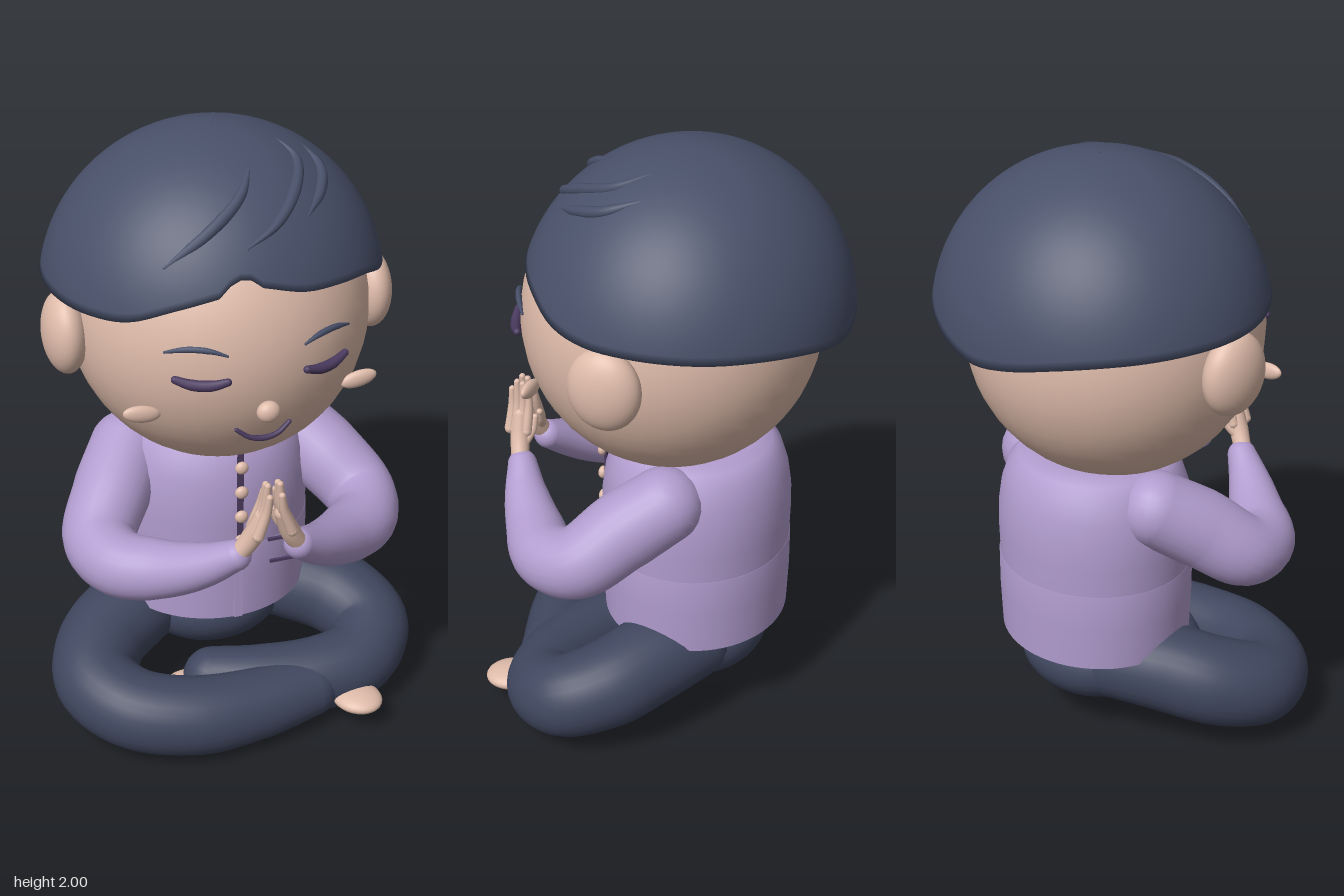
import * as THREE from 'three';
import { mergeGeometries } from 'three/addons/utils/BufferGeometryUtils.js';

const mat = (name, color) => Object.assign(new THREE.MeshStandardMaterial({ color }), { name });
const M = {
  skin: mat('skin', 0xdebbaa),
  hair: mat('navy hair', 0x485069),
  pants: mat('dark navy trousers', 0x40475f),
  shirt: mat('lilac shirt', 0xb29dcf),
  trim: mat('dark purple', 0x4b3b60),
};
const V = (a) => new THREE.Vector3(...a);

// Tube whose radius follows a list of values, with rounded ends
function taperTube(pts, radii, segs = 32, sides = 20) {
  const curve = new THREE.CatmullRomCurve3(pts.map(V));
  const geo = new THREE.TubeGeometry(curve, segs, 1, sides);
  const pos = geo.attributes.position;
  const v = new THREE.Vector3();
  for (let i = 0; i <= segs; i++) {
    const f = (i / segs) * (radii.length - 1);
    const k = Math.min(Math.floor(f), radii.length - 2);
    const r = THREE.MathUtils.lerp(radii[k], radii[k + 1], f - k);
    const c = curve.getPointAt(i / segs);
    for (let j = 0; j <= sides; j++) {
      const n = i * (sides + 1) + j;
      v.fromBufferAttribute(pos, n).sub(c).multiplyScalar(r).add(c);
      pos.setXYZ(n, v.x, v.y, v.z);
    }
  }
  const ends = [[pts[0], radii[0]], [pts[pts.length - 1], radii[radii.length - 1]]];
  return mergeGeometries([geo, ...ends.map(([p, r]) =>
    new THREE.SphereGeometry(r, sides, 12).translate(...p))]);
}

// Hair dome: an ellipsoid cut along a wavy hairline
const DOME = { y: 1.46, rx: 0.55, ry: 0.54, z: -0.06 };
const domeRz = (front) => (front ? 0.535 : 0.52);
// Hairline heights every 15 degrees, from the front towards the left
const HAIRLINE = [1.675, 1.64, 1.625, 1.605, 1.565, 1.55, 1.55, 1.547, 1.54, 1.53, 1.51, 1.48,
  1.46, 1.48, 1.51, 1.53, 1.54, 1.545, 1.545, 1.545, 1.55, 1.565, 1.615, 1.655];

function hairGeometry() {
  const line = new THREE.CatmullRomCurve3(HAIRLINE.map((y, i) => new THREE.Vector3(i, y, 0)), true);
  const cols = 96, outer = 28, inner = 8, pos = [], idx = [];
  for (let i = 0; i <= outer + inner; i++) {
    const back = i - outer;
    const t = back <= 0 ? Math.max(i / outer, 0.002) : 1 - 0.4 * Math.max(0, back - 1) / inner;
    const s = back <= 0 ? 1 : 0.94;
    for (let j = 0; j < cols; j++) {
      const phi = (j / cols) * Math.PI * 2;
      const th = t * Math.acos((line.getPoint(j / cols).y - DOME.y) / DOME.ry);
      const r = Math.sin(th) * s;
      pos.push(Math.sin(phi) * r * DOME.rx, DOME.y + Math.cos(th) * DOME.ry * (back > 1 ? s : 1),
        DOME.z + Math.cos(phi) * r * domeRz(Math.cos(phi) > 0));
    }
  }
  for (let i = 0; i < outer + inner; i++) for (let j = 0; j < cols; j++) {
    const k = (j + 1) % cols, a = i * cols + j, b = i * cols + k;
    idx.push(a, a + cols, b, b, a + cols, b + cols);
  }
  const geo = new THREE.BufferGeometry();
  geo.setAttribute('position', new THREE.Float32BufferAttribute(pos, 3));
  geo.setIndex(idx);
  geo.computeVertexNormals();
  return geo;
}
const onHair = ([x, z]) => [x, DOME.y - 0.004 + DOME.ry *
  Math.sqrt(1 - (x / DOME.rx) ** 2 - ((z - DOME.z) / domeRz(z > DOME.z)) ** 2), z];

export function createModel() {
  const root = new THREE.Group();
  root.name = 'meditatingBoy';
  const add = (name, geo, material, p = [0, 0, 0], s = [1, 1, 1]) => {
    const m = new THREE.Mesh(geo, material);
    m.name = name;
    m.position.set(...p);
    m.scale.set(...s);
    root.add(m);
    return m;
  };
  const ball = (name, material, p, s) => add(name, new THREE.SphereGeometry(1, 40, 28), material, p, s);

  // Head and hair
  ball('head', M.skin, [0, 1.42, 0], [0.48, 0.49, 0.48]);
  add('hair', hairGeometry(), M.hair);
  [
    [[0.17, 0], [0.215, 0.1], [0.16, 0.24], [0.07, 0.33], [-0.03, 0.37]],
    [[0.27, -0.01], [0.295, 0.1], [0.26, 0.2], [0.19, 0.29]],
    [[0.05, 0.16], [-0.02, 0.26], [-0.13, 0.315], [-0.27, 0.32]],
  ].forEach((p) => add('hairStrand', taperTube(p.map(onHair), [0.004, 0.017, 0.02, 0.017, 0.004], 28, 10), M.hair));

  // Central face parts
  ball('nose', M.skin, [0, 1.29, 0.49], [0.037, 0.035, 0.028]);
  add('mouth', taperTube([[-0.085, 1.215, 0.442], [-0.045, 1.188, 0.452], [0, 1.18, 0.455],
    [0.045, 1.188, 0.452], [0.085, 1.215, 0.442]], [0.007, 0.01, 0.007], 20, 8), M.trim);

  // Torso: upper shirt and slightly wider skirt, closed below
  const lathe = (pts) => new THREE.LatheGeometry(pts.map((p) => new THREE.Vector2(...p)), 64);
  const body = [[0, 0, -0.088], [1, 1, 0.94]];
  add('shirtTop', lathe([[0.328, 0.62], [0.331, 0.72], [0.33, 0.8], [0.318, 0.88], [0.295, 0.95],
    [0.26, 0.99], [0.2, 1.01], [0, 1.01]]), M.shirt, ...body);
  add('shirtSkirt', lathe([[0.326, 0.35], [0.332, 0.5], [0.332, 0.625], [0.32, 0.627]]), M.shirt, ...body);
  add('shirtHem', lathe([[0, 0.352], [0.326, 0.35]]), M.shirt, ...body);
  add('shirtFlap', new THREE.BoxGeometry(0.03, 0.2, 0.009), M.shirt, [0, 0.452, 0.222]);
  add('placket', new THREE.BoxGeometry(0.02, 0.45, 0.009), M.trim, [0, 0.775, 0.237]);
  for (let i = 0; i < 5; i++) ball('button', M.skin, [0, 0.58 + i * 0.0925, 0.25], [0.022, 0.022, 0.016]);

  // Seat of the trousers
  ball('pelvis', M.pants, [0, 0.26, -0.1], [0.26, 0.16, 0.235]);

  // Mirrored parts
  for (const s of [1, -1]) {
    const mir = (pts) => pts.map(([x, y, z]) => [x * s, y, z]);
    const side = s > 0 ? 'left' : 'right';
    const tube = (name, m, pts, r, segs, sides) => add(side + name, taperTube(mir(pts), r, segs, sides), m);

    ball(side + 'Ear', M.skin, [0.505 * s, 1.41, 0.02], [0.07, 0.135, 0.118]);
    ball(side + 'Cheek', M.skin, [0.352 * s, 1.262, 0.338], [0.06, 0.028, 0.018]).rotation.z = 0.18 * s;

    // Closed eye and eyebrow wrapped around the face
    const arc = (x0, x1, y, bend, r) => [0, 1, 2, 3, 4].map((i) => {
      const x = x0 + (x1 - x0) * i / 4;
      return [x, y + bend * (1 - ((i - 2) / 2) ** 2), Math.sqrt(r * r - x * x)];
    });
    tube('Eye', M.trim, arc(0.125, 0.27, 1.407, -0.014, 0.495), [0.012, 0.017, 0.017, 0.012], 18, 10);
    tube('Brow', M.hair, arc(0.122, 0.292, 1.487, 0.02, 0.482), [0.004, 0.01, 0.01, 0.004], 18, 8);

    // Sleeve
    tube('Sleeve', M.shirt, [[0.285, 0.89, -0.085], [0.37, 0.81, 0.03], [0.45, 0.715, 0.15], [0.42, 0.69, 0.27],
      [0.3, 0.705, 0.37], [0.19, 0.75, 0.45], [0.105, 0.8, 0.5]],
    [0.125, 0.13, 0.122, 0.112, 0.1, 0.078, 0.05], 48, 24);

    // Praying hand
    tube('Palm', M.skin, [[0.1, 0.81, 0.51], [0.065, 0.87, 0.525], [0.033, 0.95, 0.535]], [0.03, 0.033, 0.025], 12, 14);
    [1.035, 1.07, 1.075, 1.045].forEach((top, i) => {
      const z = 0.505 + i * 0.02;
      tube('Finger', M.skin, [[0.055, 0.9, z], [0.028, 0.98, z], [0.02, top - 0.011, z + 0.003]],
        [0.019, 0.016, 0.011], 12, 10);
    });
    tube('Thumb', M.skin, [[0.07, 0.86, 0.51], [0.035, 0.9, 0.492], [0.018, 0.94, 0.488]], [0.018, 0.016, 0.011], 10, 10);

    // Pocket outline: top, side and bottom strips
    const strip = (w, h, x, y) => add(side + 'Pocket', new THREE.BoxGeometry(w, h, 0.009), M.trim, [x * s, y, 0.222]);
    strip(0.115, 0.01, 0.16, 0.637);
    strip(0.009, 0.08, 0.218, 0.588);
    strip(0.11, 0.01, 0.165, 0.55);
  }

  // Crossed legs: the right shin lies in front, the left one behind it
  add('leftLeg', taperTube([[0.15, 0.28, -0.13], [0.3, 0.27, -0.04], [0.43, 0.235, 0.06], [0.49, 0.19, 0.19],
    [0.41, 0.145, 0.3], [0.26, 0.13, 0.33], [0.06, 0.125, 0.29], [-0.09, 0.12, 0.22]],
  [0.14, 0.15, 0.148, 0.137, 0.13, 0.125, 0.115, 0.1], 64, 28), M.pants);
  add('rightLeg', taperTube([[-0.15, 0.28, -0.13], [-0.3, 0.27, -0.04], [-0.43, 0.235, 0.06], [-0.49, 0.19, 0.2],
    [-0.41, 0.155, 0.34], [-0.22, 0.135, 0.42], [0, 0.125, 0.415], [0.2, 0.12, 0.38]],
  [0.14, 0.15, 0.148, 0.137, 0.133, 0.13, 0.118, 0.1], 64, 28), M.pants);
  const foot = new THREE.SphereGeometry(1, 28, 20);
  add('rightFoot', foot, M.skin, [0.345, 0.097, 0.455], [0.078, 0.034, 0.09]).rotation.y = 0.5;
  add('leftFoot', foot, M.skin, [-0.17, 0.1, 0.2], [0.085, 0.034, 0.055]);

  return root;
}
